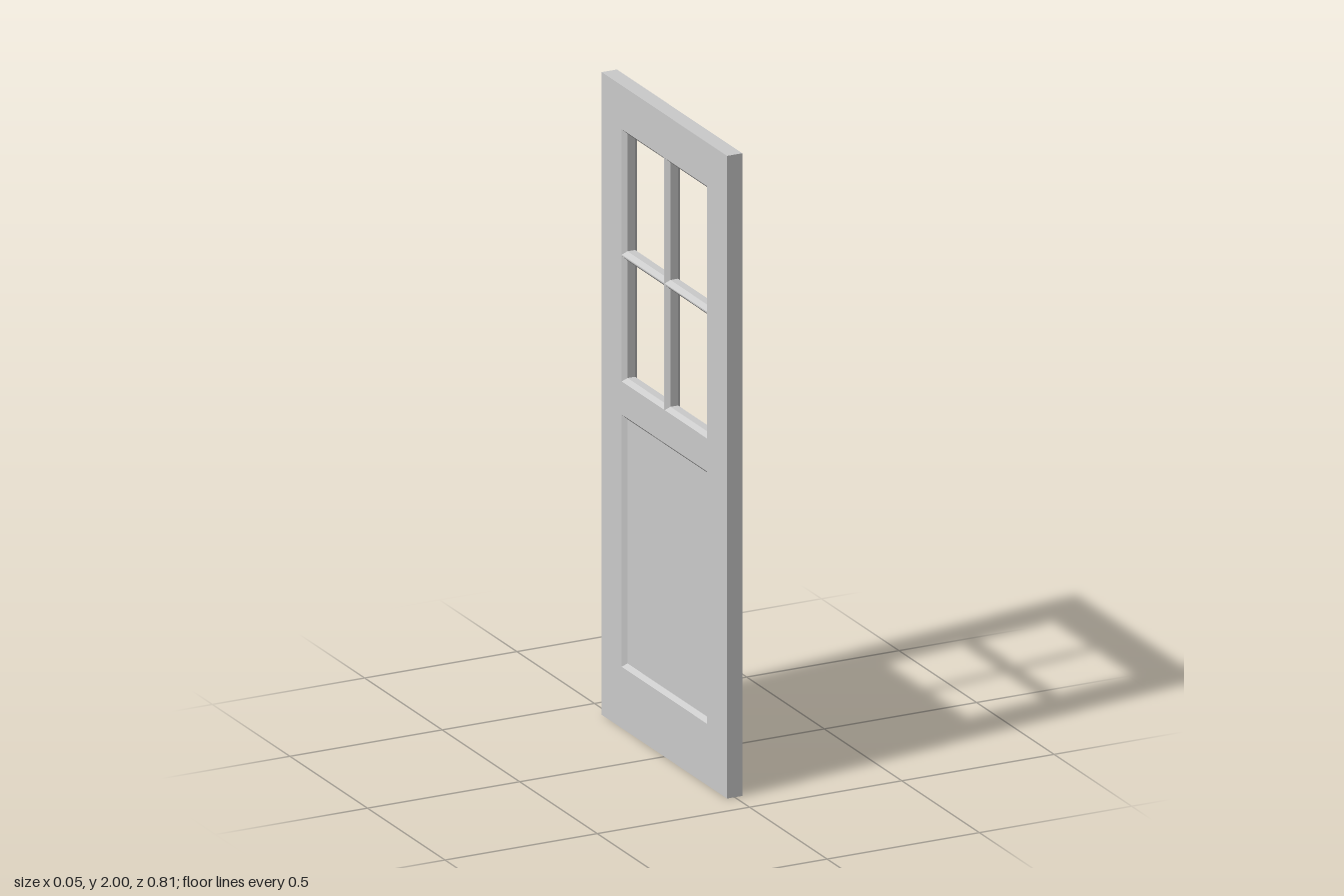
import * as THREE from 'three';

const HALF = 0.025;   // half the door thickness
const BEVEL = 0.0125; // width and depth of the moulding
const BAR = 0.002;    // half the flat crest of a glazing bar
const material = new THREE.MeshStandardMaterial({ color: 0xcccccc, flatShading: true });

// Rectangles as [z0, y0, z1, y1]
const DOOR = [-0.404, 0, 0.404, 2];
const PANEL = [-0.275, 0.191, 0.275, 0.976];
const WINDOW = [-0.275, 1.079, 0.275, 1.864];

function part(name, geometry) {
  const mesh = new THREE.Mesh(geometry, material);
  mesh.name = name;
  return mesh;
}

// Walls joining rectangular loops [inset, x]; falling x faces inward, rising x outward
function walls([z0, y0, z1, y1], loops) {
  const rings = loops.map(([i, x]) => [
    [x, y0 + i, z0 + i], [x, y0 + i, z1 - i], [x, y1 - i, z1 - i], [x, y1 - i, z0 + i],
  ]);
  const pos = [];
  for (let r = 0; r < rings.length - 1; r++) {
    for (let k = 0; k < 4; k++) {
      const n = (k + 1) % 4;
      const a = rings[r][k], b = rings[r][n], c = rings[r + 1][n], d = rings[r + 1][k];
      pos.push(...a, ...d, ...c, ...a, ...c, ...b);
    }
  }
  const g = new THREE.BufferGeometry();
  g.setAttribute('position', new THREE.Float32BufferAttribute(pos, 3));
  g.computeVertexNormals();
  return g;
}

function outline([z0, y0, z1, y1], path) {
  path.moveTo(z0, y0).lineTo(z1, y0).lineTo(z1, y1).lineTo(z0, y1).closePath();
  return path;
}

export function createModel() {
  const door = new THREE.Group();
  door.name = 'door';

  // Four panes around the crossing glazing bars
  const [wz0, wy0, wz1, wy1] = WINDOW;
  const midY = (wy0 + wy1) / 2;
  const panes = [];
  for (const [z0, z1] of [[wz0, -BAR], [BAR, wz1]]) {
    for (const [y0, y1] of [[wy0, midY - BAR], [midY + BAR, wy1]]) panes.push([z0, y0, z1, y1]);
  }

  // Flat faces of the stiles, rails and glazing bars, both sides
  const shape = outline(DOOR, new THREE.Shape());
  for (const rect of [PANEL, ...panes]) shape.holes.push(outline(rect, new THREE.Path()));
  for (const side of [1, -1]) {
    const face = new THREE.ShapeGeometry(shape);
    face.rotateY(side * Math.PI / 2).translate(side * HALF, 0, 0);
    door.add(part(side > 0 ? 'leftFrameFace' : 'rightFrameFace', face));
  }

  // Outer edges of the door
  door.add(part('doorEdge', walls(DOOR, [[0, -HALF], [0, HALF]])));

  // Pane openings, bevelled from both faces
  const inner = HALF - BEVEL;
  for (const rect of panes) {
    door.add(part('paneMoulding', walls(rect, [[0, HALF], [BEVEL, inner], [BEVEL, -inner], [0, -HALF]])));
  }

  // Recessed lower panel with a bevelled moulding on each side
  door.add(part('leftPanelMoulding', walls(PANEL, [[0, HALF], [BEVEL, inner]])));
  door.add(part('rightPanelMoulding', walls(PANEL, [[BEVEL, -inner], [0, -HALF]])));
  const [pz0, py0, pz1, py1] = PANEL;
  const panel = part('lowerPanel', new THREE.BoxGeometry(2 * inner, py1 - py0 - 2 * BEVEL, pz1 - pz0 - 2 * BEVEL));
  panel.position.y = (py0 + py1) / 2;
  door.add(panel);

  return door;
}
